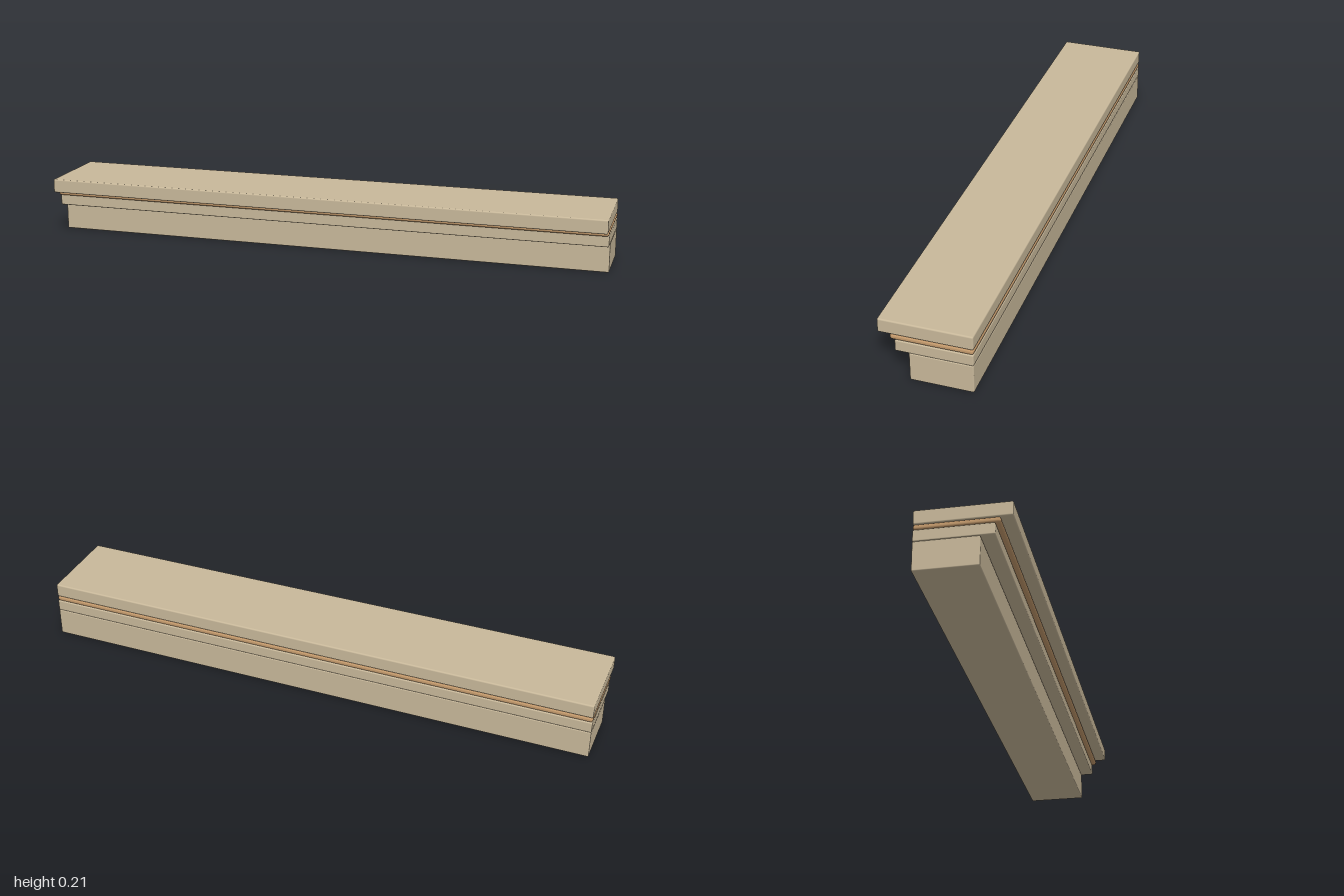
import * as THREE from 'three';
import { RoundedBoxGeometry } from 'three/addons/geometries/RoundedBoxGeometry.js';

const LENGTH = 2;
const BACK = -0.154; // all courses share one flush back plane

export function createModel() {
  const group = new THREE.Group();
  group.name = 'corniceMoulding';

  const stone = new THREE.MeshStandardMaterial({ color: 0xc8b89a });
  stone.name = 'sandstone';
  const accent = new THREE.MeshStandardMaterial({ color: 0xc49a6c });
  accent.name = 'warmTan';

  // Stacked courses, each stepping further forward: bottom, top, front, edge radius
  const courses = [
    ['baseCourse', 0, 0.101, 0.055, 0.004, stone],
    ['middleCourse', 0.101, 0.141, 0.1, 0.004, stone],
    ['accentBead', 0.141, 0.16, 0.116, 0.008, accent],
    ['topSlab', 0.16, 0.209, 0.155, 0.005, stone],
  ];

  for (const [name, bottom, top, front, radius, material] of courses) {
    const geometry = new RoundedBoxGeometry(LENGTH, top - bottom, front - BACK, 4, radius);
    const mesh = new THREE.Mesh(geometry, material);
    mesh.name = name;
    mesh.position.set(0, (bottom + top) / 2, (front + BACK) / 2);
    group.add(mesh);
  }
  return group;
}
